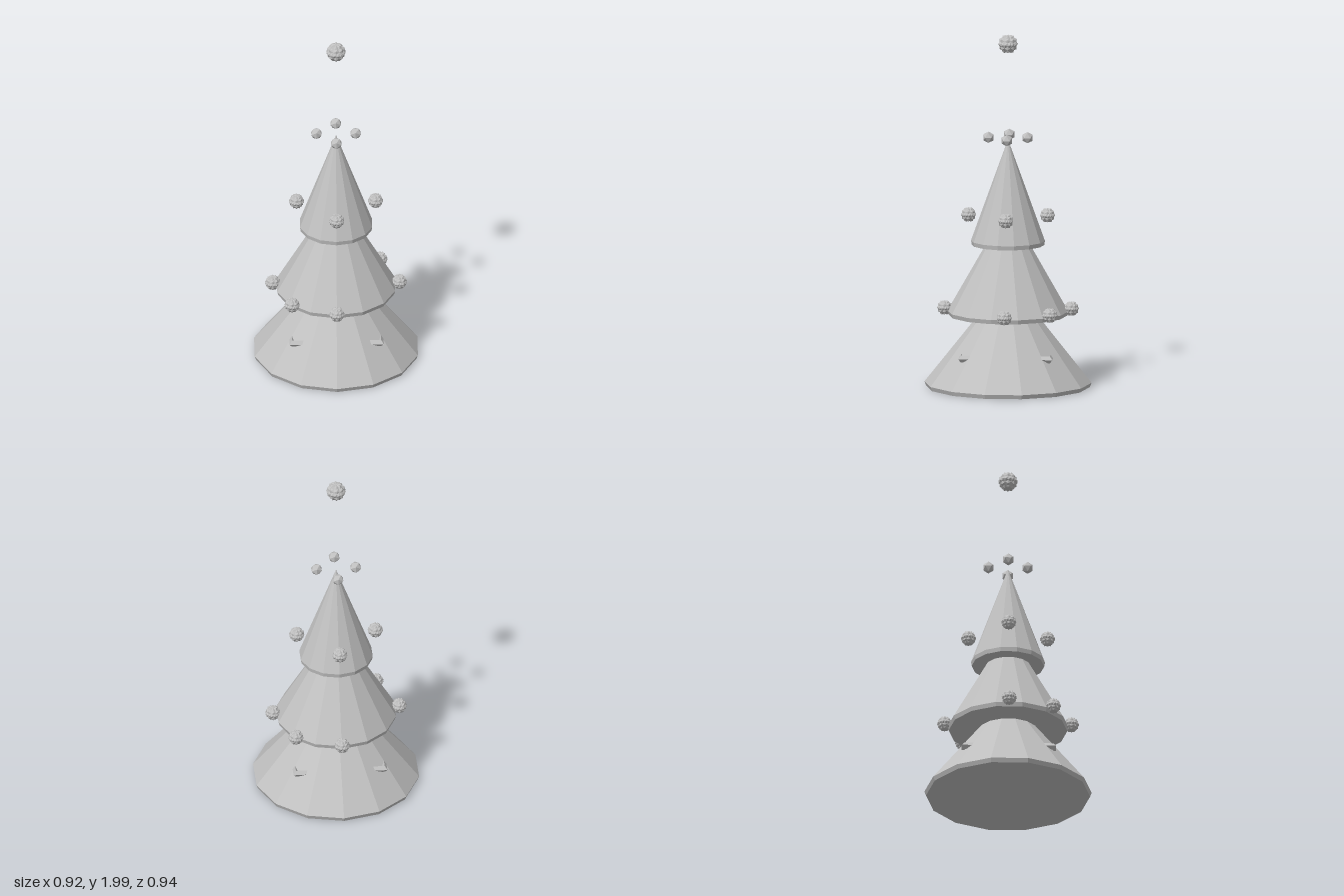
import * as THREE from 'three';

const grey = new THREE.MeshStandardMaterial({ color: 0xc0c0c0, flatShading: true });
grey.name = 'grey';

function add(parent, name, geometry) {
  const mesh = new THREE.Mesh(geometry, grey);
  mesh.name = name;
  parent.add(mesh);
  return mesh;
}

// Several icosahedra turned about the vertical axis make one faceted bauble
function bauble(parent, name, radius, copies, x, y, z) {
  const group = new THREE.Group();
  group.name = name;
  for (let i = 0; i < copies; i++) {
    const facet = add(group, 'baubleFacet', new THREE.IcosahedronGeometry(radius, 0));
    facet.rotation.y = (i * Math.PI) / copies;
  }
  group.position.set(x, y, z);
  parent.add(group);
}

export function createModel() {
  const tree = new THREE.Group();
  tree.name = 'tree';

  // Three 14-sided tiers, each a cone with a narrow rim tapering in underneath
  const tiers = [
    ['lowerTier', 0.47, 0.005, 0.62],
    ['middleTier', 0.34, 0.41, 1.03],
    ['upperTier', 0.208, 0.81, 1.41],
  ];
  for (const [name, r, y, apex] of tiers) {
    const profile = [[0, y], [r * 0.98, y], [r, y + 0.024], [0, apex]];
    add(tree, name, new THREE.LatheGeometry(profile.map(p => new THREE.Vector2(...p)), 14));
  }

  // Square garland ring: only its corners poke out of the lowest tier
  const ring = new THREE.TorusGeometry(0.354, 0.02, 4, 4);
  ring.rotateZ(Math.PI / 4).rotateX(Math.PI / 2);
  add(tree, 'garlandRing', ring).position.y = 0.198;

  // Rings of four ornaments: offset, height, radius, facets
  const rings = [
    ['topOrnament', 0.11, 1.42, 0.034, 1],
    ['upperBauble', 0.222, 0.98, 0.044, 4],
    ['lowerBauble', 0.356, 0.45, 0.044, 4],
  ];
  for (const [name, d, y, r, copies] of rings) {
    for (let i = 0; i < 4; i++) {
      const a = (i * Math.PI) / 2;
      bauble(tree, name, r, copies, d * Math.sin(a), y, d * Math.cos(a));
    }
  }

  // Two extra baubles on one diagonal
  for (const s of [1, -1]) bauble(tree, 'diagonalBauble', 0.044, 4, 0.25 * s, 0.45, -0.25 * s);

  // Floating topper
  bauble(tree, 'topper', 0.056, 4, 0, 1.952, 0);

  return tree;
}
